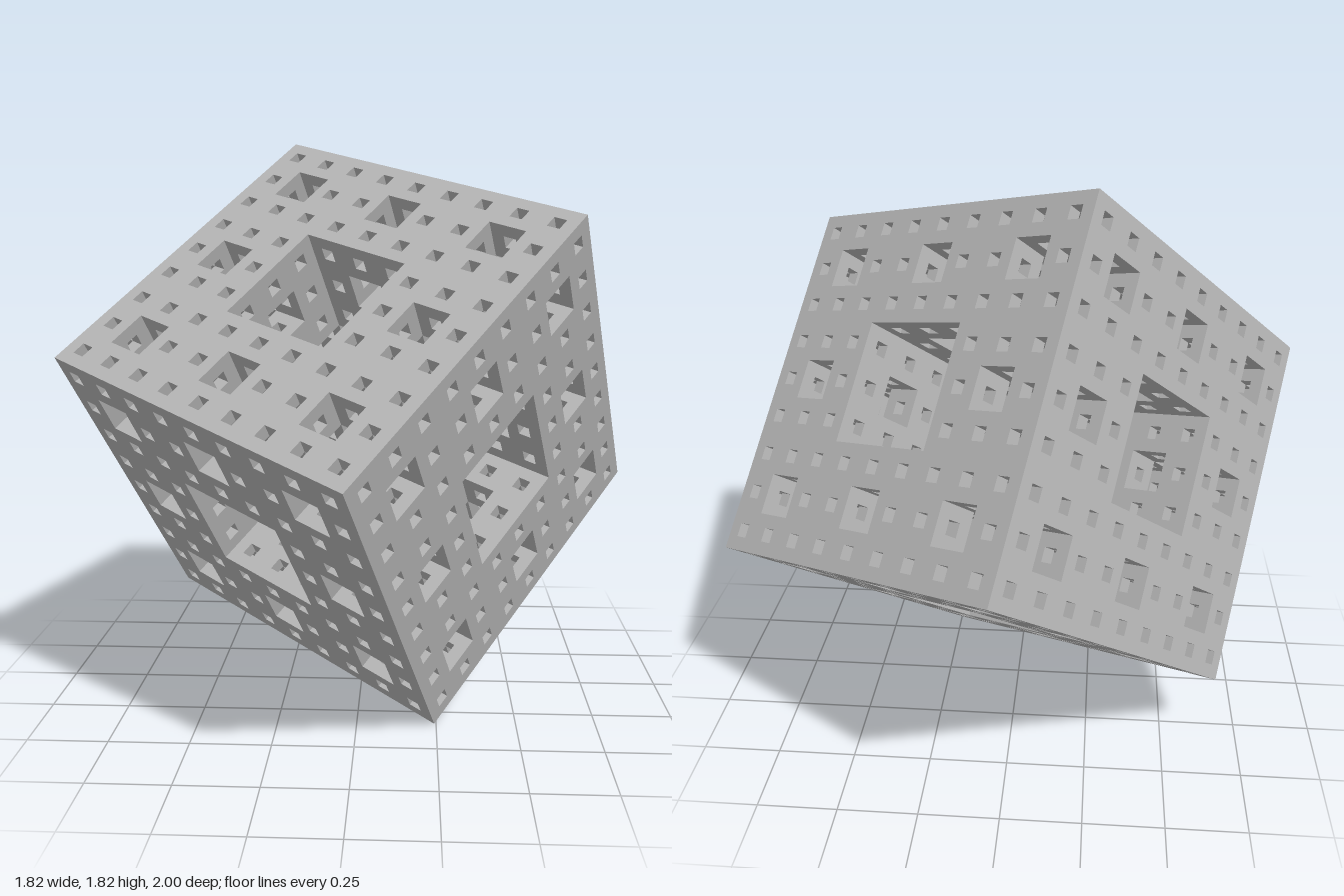
import * as THREE from 'three';

const LEVELS = 3;
const N = 3 ** LEVELS;            // cells along one edge
const EDGE = 2 / Math.sqrt(3);    // the body diagonal is 2 long

// A cell is solid unless, at any scale, two of its coordinates are in the middle third
function isSolid(cell) {
  if (cell.some((v) => v < 0 || v >= N)) return false;
  let [x, y, z] = cell;
  for (let i = 0; i < LEVELS; i++) {
    const middles = (x % 3 === 1) + (y % 3 === 1) + (z % 3 === 1);
    if (middles >= 2) return false;
    [x, y, z] = [x, y, z].map((v) => Math.floor(v / 3));
  }
  return true;
}

// One quad for every cell side that borders an empty cell
function spongeGeometry() {
  const positions = [], normals = [], indices = [];
  const corners = [[0, 0], [1, 0], [1, 1], [0, 1]];

  function addSide(cell, axis, sign) {
    const start = positions.length / 3;
    const t1 = (axis + 1) % 3, t2 = (axis + 2) % 3;
    const normal = [0, 0, 0];
    normal[axis] = sign;
    for (const [a, b] of corners) {
      const p = [...cell];
      p[axis] += sign > 0 ? 1 : 0;
      p[t1] += a;
      p[t2] += b;
      positions.push(...p.map((v) => (v / N - 0.5) * EDGE));
      normals.push(...normal);
    }
    const order = sign > 0 ? [0, 1, 2, 0, 2, 3] : [0, 2, 1, 0, 3, 2];
    indices.push(...order.map((i) => start + i));
  }

  for (let x = 0; x < N; x++)
    for (let y = 0; y < N; y++)
      for (let z = 0; z < N; z++) {
        const cell = [x, y, z];
        if (!isSolid(cell)) continue;
        for (let axis = 0; axis < 3; axis++)
          for (const sign of [-1, 1]) {
            const next = [...cell];
            next[axis] += sign;
            if (!isSolid(next)) addSide(cell, axis, sign);
          }
      }

  const geometry = new THREE.BufferGeometry();
  geometry.setAttribute('position', new THREE.Float32BufferAttribute(positions, 3));
  geometry.setAttribute('normal', new THREE.Float32BufferAttribute(normals, 3));
  geometry.setIndex(indices);
  return geometry;
}

export function createModel() {
  const group = new THREE.Group();
  group.name = 'fractalCube';

  const grey = new THREE.MeshStandardMaterial({ color: 0xb4b4b4 });
  grey.name = 'grey';

  // Cube axes spread evenly round +z, so one corner points straight at the front
  const axes = [-15, 105, 225].map((deg) => {
    const a = THREE.MathUtils.degToRad(deg), r = Math.sqrt(2 / 3);
    return new THREE.Vector3(r * Math.cos(a), r * Math.sin(a), Math.sqrt(1 / 3));
  });
  const geometry = spongeGeometry();
  geometry.applyMatrix4(new THREE.Matrix4().makeBasis(...axes));

  // Stand the lowest corner on the ground
  geometry.computeBoundingBox();
  geometry.translate(0, -geometry.boundingBox.min.y, 0);

  const cube = new THREE.Mesh(geometry, grey);
  cube.name = 'perforatedCube';
  group.add(cube);
  return group;
}
